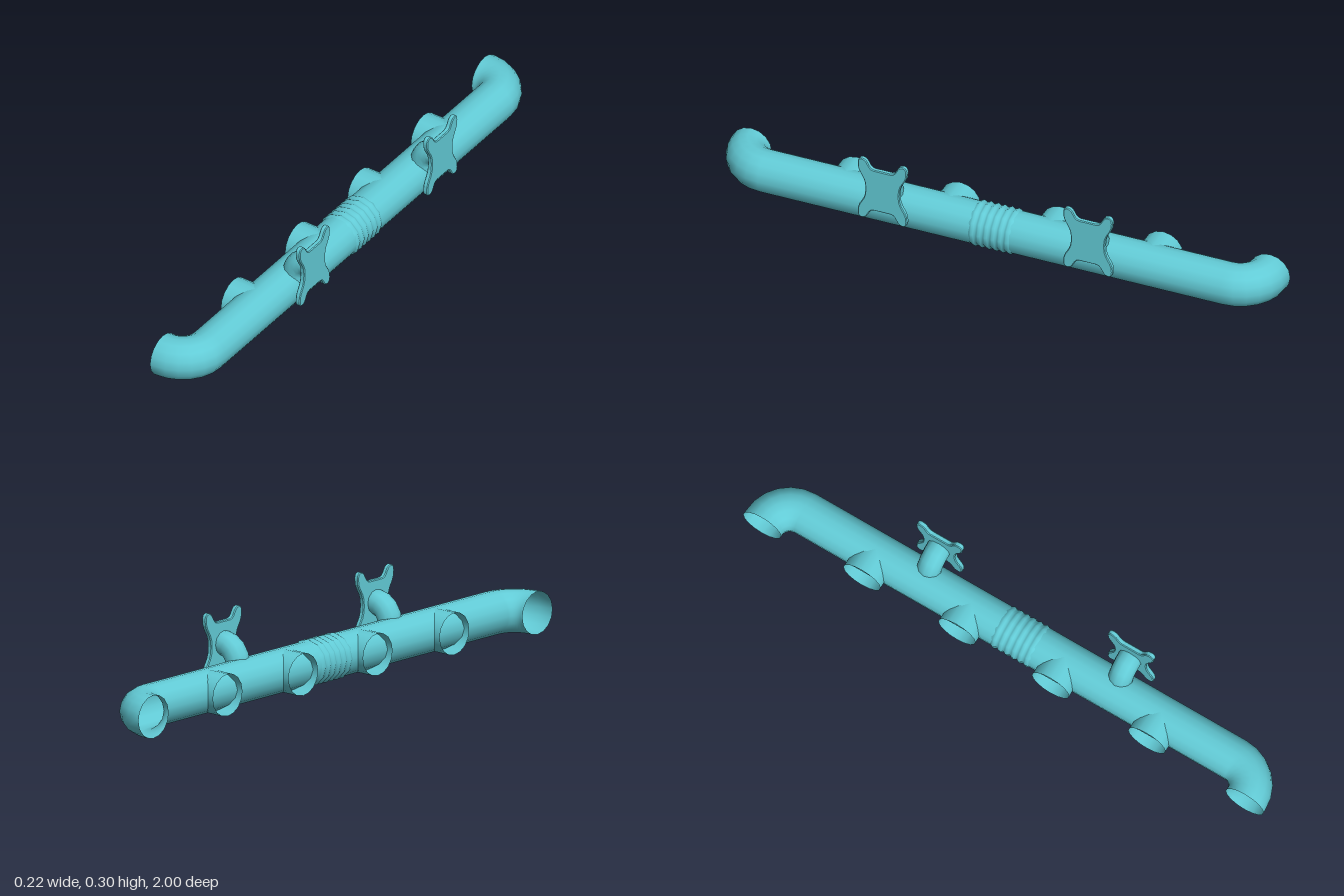
import * as THREE from 'three';

const R = 0.073;      // main pipe radius
const CY = 0.08;      // pipe axis height
const BEND = 0.1;     // elbow centreline radius
const BEND_Z = 0.827; // where the elbows begin

export function createModel() {
  const model = new THREE.Group();
  model.name = 'pipeManifold';
  const mat = new THREE.MeshStandardMaterial({ color: 0x62cbd6, side: THREE.DoubleSide });

  const add = (name, geo, x, y, z, parent = model) => {
    const mesh = new THREE.Mesh(geo, mat);
    mesh.name = name;
    mesh.position.set(x, y, z);
    parent.add(mesh);
    return mesh;
  };
  const tube = (r, len, sides = 16) => new THREE.CylinderGeometry(r, r, len, sides, 1, true);

  // Two pipe halves, each with an open elbow turning towards -x
  const inner = 0.07;
  for (const s of [1, -1]) {
    const len = BEND_Z - inner;
    add('mainPipe', tube(R, len).rotateX(Math.PI / 2), 0, CY, s * (inner + len / 2));
    add('elbow', new THREE.TorusGeometry(BEND, R, 16, 6, Math.PI / 2).rotateX(s * Math.PI / 2),
      -BEND, CY, s * BEND_Z);
    add('elbowMouth', tube(R, 0.01).rotateZ(Math.PI / 2), -BEND - 0.005, CY, s * (BEND_Z + BEND));
  }

  // Corrugated flexible joint in the middle
  const ribs = 6, span = 0.15, profile = [];
  for (let i = 0; i <= ribs * 4; i++) {
    const wave = 0.5 - 0.5 * Math.cos((i / 4) * Math.PI * 2);
    profile.push(new THREE.Vector2(0.0725 + 0.0065 * wave, -span / 2 + (span * i) / (ribs * 4)));
  }
  add('flexibleJoint', new THREE.LatheGeometry(profile, 12).rotateX(Math.PI / 2), 0, CY, 0);

  // Four open inlet stubs on the -x side
  for (const z of [-0.553, -0.188, 0.172, 0.542]) {
    add('inletStub', tube(0.0715, 0.095).rotateZ(Math.PI / 2), -0.0475, CY, z);
  }

  // Flange outline: four rounded ears with waisted sides and dipped top and bottom
  const w = 0.088, h = 0.117;
  const shape = new THREE.Shape();
  shape.moveTo(-0.03, 0.08);
  shape.bezierCurveTo(-0.052, 0.08, -0.048, h, -0.072, h);
  shape.quadraticCurveTo(-w, h, -w, 0.095);
  shape.bezierCurveTo(-w, 0.05, -0.06, 0.055, -0.06, 0);
  shape.bezierCurveTo(-0.06, -0.055, -w, -0.05, -w, -0.095);
  shape.quadraticCurveTo(-w, -h, -0.072, -h);
  shape.bezierCurveTo(-0.048, -h, -0.052, -0.08, -0.03, -0.08);
  shape.lineTo(0.03, -0.08);
  shape.bezierCurveTo(0.052, -0.08, 0.048, -h, 0.072, -h);
  shape.quadraticCurveTo(w, -h, w, -0.095);
  shape.bezierCurveTo(w, -0.05, 0.06, -0.055, 0.06, 0);
  shape.bezierCurveTo(0.06, 0.055, w, 0.05, w, 0.095);
  shape.quadraticCurveTo(w, h, 0.072, h);
  shape.bezierCurveTo(0.048, h, 0.052, 0.08, 0.03, 0.08);
  shape.closePath();
  const flangeGeo = new THREE.ExtrudeGeometry(shape, {
    depth: 0.012, curveSegments: 6, bevelEnabled: true,
    bevelThickness: 0.003, bevelSize: 0.003, bevelOffset: -0.003, bevelSegments: 1,
  }).rotateY(Math.PI / 2);

  // Two curved outlets rising from the pipe to a flange on the +x side
  for (const z of [-0.37, 0.365]) {
    const outlet = new THREE.Group();
    outlet.name = 'outlet';
    outlet.position.z = z;
    model.add(outlet);
    add('outletRiser', tube(0.042, 0.05, 12), 0.03, 0.105, 0, outlet);
    add('outletBend', new THREE.TorusGeometry(0.06, 0.042, 12, 4, Math.PI / 2).rotateZ(Math.PI / 2),
      0.09, 0.13, 0, outlet);
    add('outletFlange', flangeGeo, 0.094, 0.185, 0, outlet);
  }
  return model;
}
